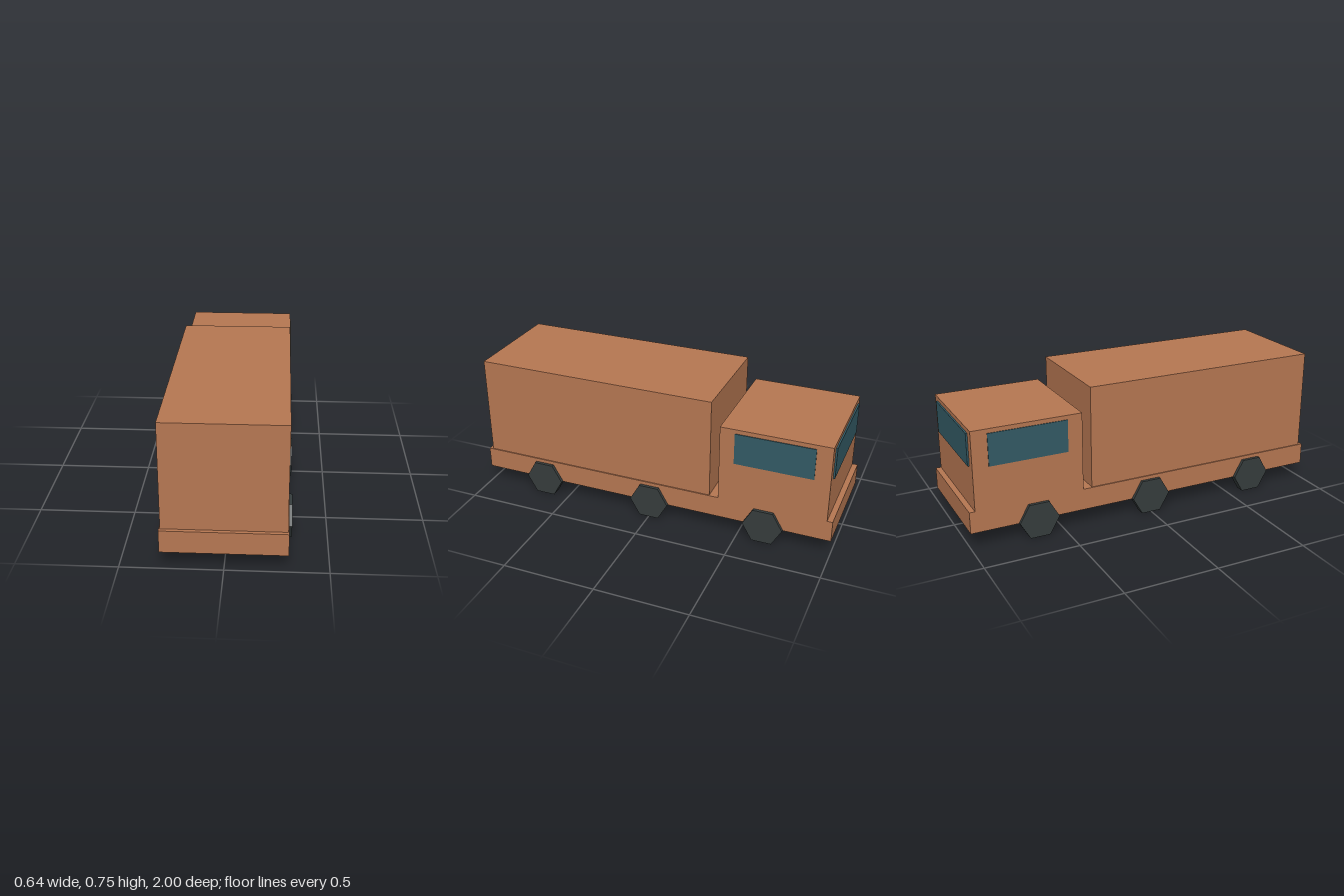
import * as THREE from 'three';

export function createModel() {
  const truck = new THREE.Group();
  truck.name = 'boxTruck';

  const paint = new THREE.MeshStandardMaterial({ color: 0xb67752 });
  paint.name = 'clay orange paint';
  const glass = new THREE.MeshStandardMaterial({ color: 0x335a65 });
  glass.name = 'dark teal glass';
  const rubber = new THREE.MeshStandardMaterial({ color: 0x363d3d, flatShading: true });
  rubber.name = 'charcoal rubber';

  // Box given by its minimum and maximum corners
  function addBox(name, material, [x0, y0, z0], [x1, y1, z1]) {
    const mesh = new THREE.Mesh(new THREE.BoxGeometry(x1 - x0, y1 - y0, z1 - z0), material);
    mesh.position.set((x0 + x1) / 2, (y0 + y1) / 2, (z0 + z1) / 2);
    mesh.name = name;
    truck.add(mesh);
  }

  // Body: full-length chassis, cargo box and cab with a gap between them
  addBox('chassis', paint, [-0.305, 0.09, -1], [0.305, 0.206, 1]);
  addBox('cargoBox', paint, [-0.299, 0.206, -0.34], [0.299, 0.752, 0.98]);
  addBox('cab', paint, [-0.305, 0.206, -0.971], [0.305, 0.627, -0.39]);

  // Windows: thin plates standing just proud of the cab
  addBox('windshield', glass, [-0.26, 0.432, -0.98], [0.26, 0.604, -0.971]);
  addBox('leftWindow', glass, [0.305, 0.432, -0.888], [0.309, 0.604, -0.47]);
  addBox('rightWindow', glass, [-0.309, 0.432, -0.888], [-0.305, 0.604, -0.47]);

  // Three pairs of hexagonal wheels, flat side down
  const radius = 0.1075;
  const wheelGeometry = new THREE.CylinderGeometry(radius, radius, 0.047, 6);
  wheelGeometry.rotateZ(Math.PI / 2);
  const axles = { rear: -0.64, middle: 0, front: 0.64 };
  for (const [axle, z] of Object.entries(axles)) {
    for (const side of [-1, 1]) {
      const wheel = new THREE.Mesh(wheelGeometry, rubber);
      wheel.position.set(side * 0.2985, radius * Math.cos(Math.PI / 6), z);
      wheel.name = axle + (side > 0 ? 'Left' : 'Right') + 'Wheel';
      truck.add(wheel);
    }
  }

  return truck;
}
